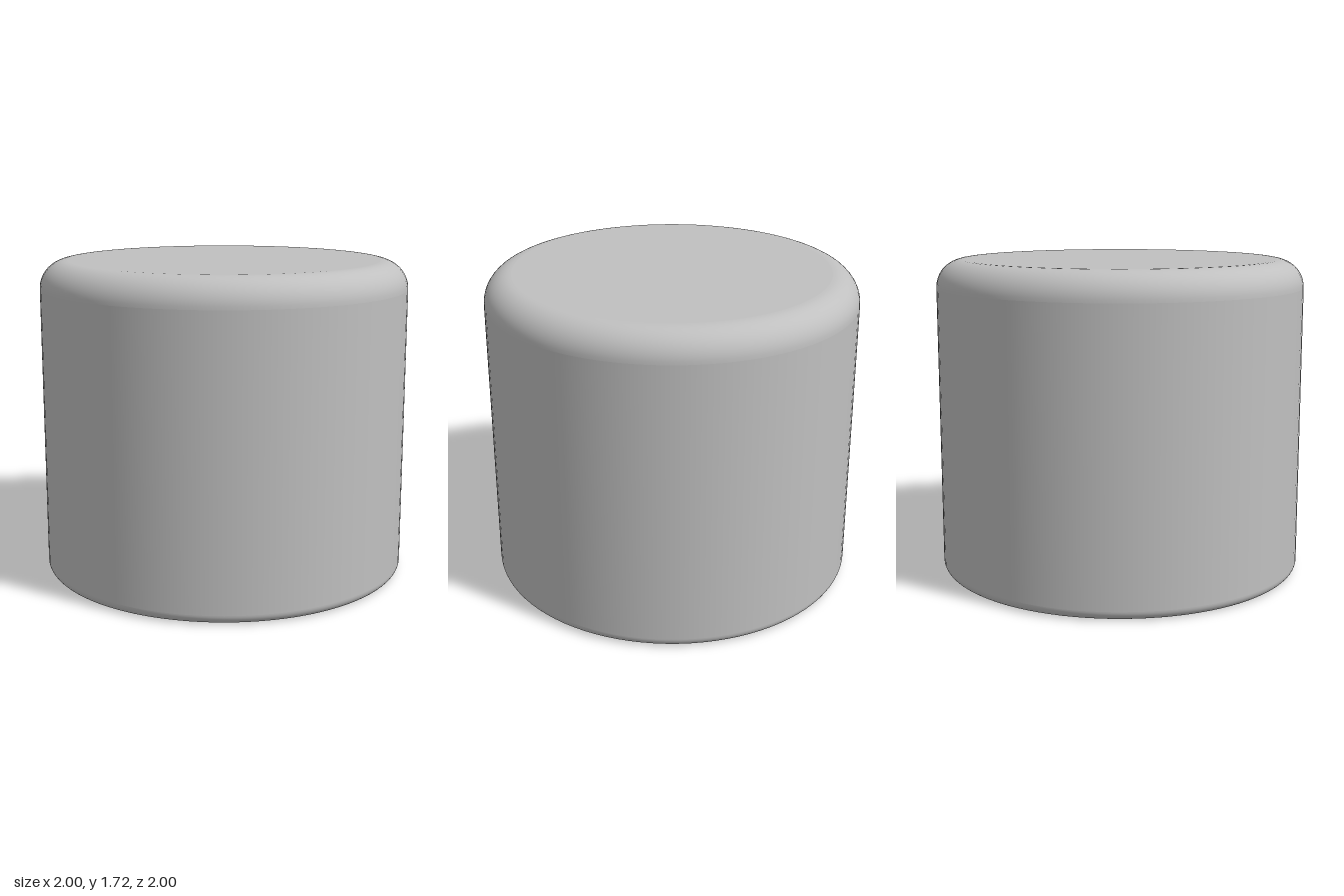
import * as THREE from 'three';

const SEGMENTS = 96;
const HEIGHT = 1.72;

// Quarter-round profile between two angles (degrees)
function fillet(cx, cy, r, from, to, steps = 14) {
  return Array.from({ length: steps + 1 }, (_, i) => {
    const a = THREE.MathUtils.degToRad(from + (to - from) * i / steps);
    return [cx + r * Math.cos(a), cy + r * Math.sin(a)];
  });
}

export function createModel() {
  const grey = new THREE.MeshStandardMaterial({ color: 0xc0c0c0 });
  grey.name = 'light grey';
  const group = new THREE.Group();
  group.name = 'roundFoot';

  // Each part is revolved on its own, which keeps the edges between parts crisp
  function revolve(name, profile) {
    const points = profile.map(([x, y]) => new THREE.Vector2(x, y));
    const mesh = new THREE.Mesh(new THREE.LatheGeometry(points, SEGMENTS), grey);
    mesh.name = name;
    group.add(mesh);
  }

  const topR = 0.15, baseR = 0.05;      // edge roundings
  const recessR = 0.68, recessY = 0.36; // wide recess in the underside
  const boreR = 0.3, boreY = 1.2;       // blind bore above the recess

  // Underside, from the bore outwards
  revolve('boreEnd', [[0, boreY], [boreR, boreY]]);
  revolve('boreWall', [[boreR, boreY], [boreR, recessY]]);
  revolve('recessShoulder', [[boreR, recessY], [recessR, recessY]]);
  revolve('recessWall', [[recessR, recessY], [recessR, 0]]);
  revolve('baseRing', [[recessR, 0], [1 - baseR, 0]]);

  // Outer shell, from the base to the top
  revolve('baseRounding', fillet(1 - baseR, baseR, baseR, -90, 0));
  revolve('sideWall', [[1, baseR], [1, HEIGHT - topR]]);
  revolve('topRounding', fillet(1 - topR, HEIGHT - topR, topR, 0, 90));
  revolve('topFace', [[1 - topR, HEIGHT], [0, HEIGHT]]);

  return group;
}
